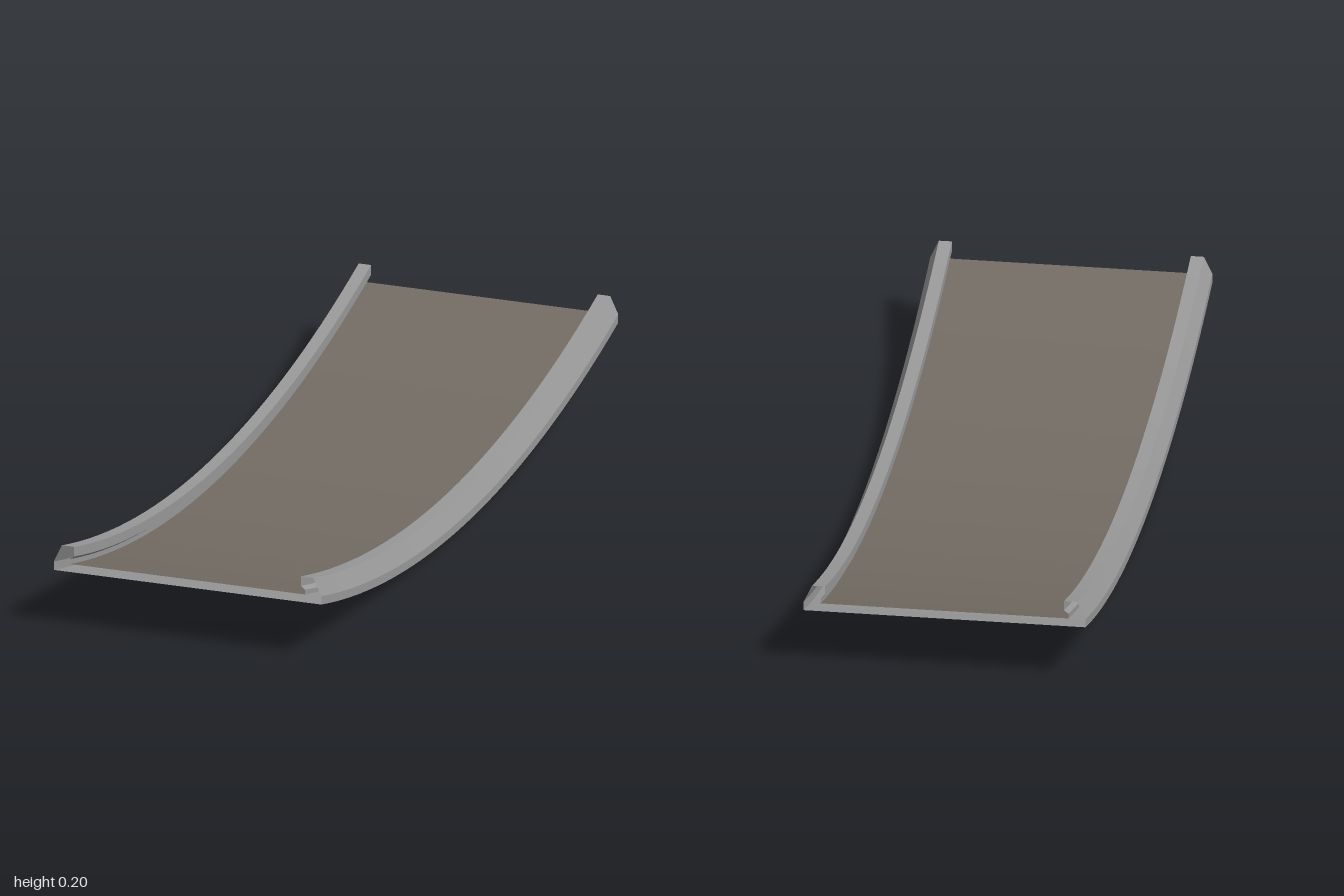
import * as THREE from 'three';
import { mergeGeometries } from 'three/addons/utils/BufferGeometryUtils.js';

const STEPS = 32;
const RISE = 0.14;

// Height of the sagging arc at a given z, 0 in the middle and RISE at the ends
const RADIUS = (1 + RISE * RISE) / (2 * RISE);
const sag = (z) => RADIUS - Math.sqrt(RADIUS * RADIUS - z * z);

// Sweep an open counterclockwise profile along the arc, one smooth strip per side
function sweep(profile) {
  const strips = [];
  for (let i = 0; i < profile.length - 1; i++) {
    const positions = [];
    const indices = [];
    for (let k = 0; k <= STEPS; k++) {
      const z = -1 + (2 * k) / STEPS;
      for (const [x, y] of [profile[i], profile[i + 1]]) positions.push(x, y + sag(z), z);
      if (k < STEPS) {
        const a = 2 * k;
        indices.push(a, a + 1, a + 2, a + 1, a + 3, a + 2);
      }
    }
    const strip = new THREE.BufferGeometry();
    strip.setAttribute('position', new THREE.Float32BufferAttribute(positions, 3));
    strip.setIndex(indices);
    strip.computeVertexNormals();
    strips.push(strip);
  }
  return mergeGeometries(strips);
}

export function createModel() {
  const group = new THREE.Group();
  group.name = 'curvedTrack';

  const frameGrey = new THREE.MeshStandardMaterial({ color: 0x9a9a9a, side: THREE.DoubleSide });
  frameGrey.name = 'frameGrey';
  const deckBrown = new THREE.MeshStandardMaterial({ color: 0x736c64, side: THREE.DoubleSide });
  deckBrown.name = 'deckBrown';

  const add = (name, profile, material) => {
    const mesh = new THREE.Mesh(sweep(profile), material);
    mesh.name = name;
    group.add(mesh);
  };

  // Hollow shell with open ends: underside, deck and two chamfered rails
  const rail = [
    [0.333, 0], [0.333, 0.021], [0.313, 0.064], [0.282, 0.064],
    [0.282, 0.04], [0.293, 0.032], [0.293, 0.02],
  ];
  const mirrored = rail.map(([x, y]) => [-x, y]).reverse();

  add('underside', [[-0.333, 0], [0.333, 0]], frameGrey);
  add('deck', [[0.293, 0.02], [-0.293, 0.02]], deckBrown);
  add('leftRail', rail, frameGrey);
  add('rightRail', mirrored, frameGrey);

  return group;
}
